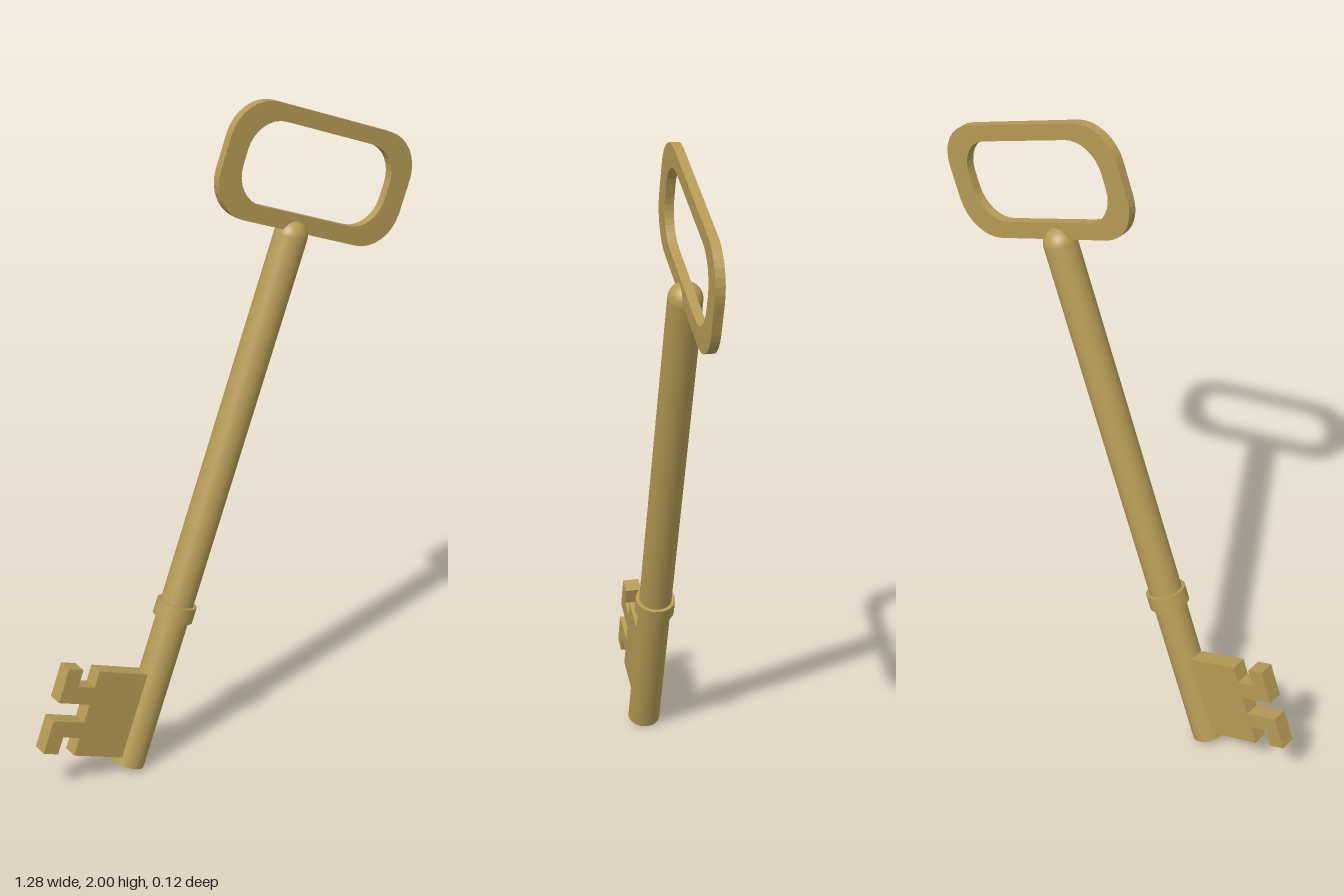
import * as THREE from 'three';

const brass = new THREE.MeshStandardMaterial({ color: 0xb59a54 });
brass.name = 'brass';

function addPart(parent, name, geometry, x = 0, y = 0, z = 0) {
  const mesh = new THREE.Mesh(geometry, brass);
  mesh.name = name;
  mesh.position.set(x, y, z);
  parent.add(mesh);
  return mesh;
}

// Rectangle with rounded corners, drawn counter-clockwise
function roundedRect(path, x0, y0, x1, y1, r) {
  path.moveTo(x0 + r, y0);
  path.lineTo(x1 - r, y0);
  path.absarc(x1 - r, y0 + r, r, -Math.PI / 2, 0);
  path.lineTo(x1, y1 - r);
  path.absarc(x1 - r, y1 - r, r, 0, Math.PI / 2);
  path.lineTo(x0 + r, y1);
  path.absarc(x0 + r, y1 - r, r, Math.PI / 2, Math.PI);
  path.lineTo(x0, y0 + r);
  path.absarc(x0 + r, y0 + r, r, Math.PI, Math.PI * 1.5);
  return path;
}

// Flat plate of the given thickness, centred on z = 0
function plate(shape, depth) {
  return new THREE.ExtrudeGeometry(shape, { depth, bevelEnabled: false, curveSegments: 4 })
    .translate(0, 0, -depth / 2);
}

export function createModel() {
  const model = new THREE.Group();
  model.name = 'key';

  // The key is built upright, then leaned over
  const key = new THREE.Group();
  key.name = 'leaningKey';
  key.position.set(-0.347, 0.02, 0);
  key.rotation.z = -THREE.MathUtils.degToRad(20);
  model.add(key);

  // Round shaft with a domed top
  const radius = 0.05, shaftTop = 1.67;
  addPart(key, 'shaft', new THREE.CylinderGeometry(radius, radius, shaftTop, 32), 0, shaftTop / 2, -0.002);
  addPart(key, 'shaftDome',
    new THREE.SphereGeometry(radius, 32, 10, 0, Math.PI * 2, 0, Math.PI / 2), 0, shaftTop, -0.002);

  // Collar
  addPart(key, 'collar', new THREE.CylinderGeometry(0.061, 0.061, 0.048, 32), 0, 0.502, -0.002);

  // Looped handle
  const bow = roundedRect(new THREE.Shape(), -0.313, 1.685, 0.347, 2.03, 0.122);
  bow.holes.push(roundedRect(new THREE.Path(), -0.245, 1.736, 0.278, 1.982, 0.1));
  addPart(key, 'bow', plate(bow, 0.027), 0, 0, 0.003);

  // Notched bit, starting inside the shaft
  const bit = new THREE.Shape([
    [0, 0.025], [0, 0.297], [-0.216, 0.297], [-0.216, 0.245], [-0.273, 0.245],
    [-0.273, 0.298], [-0.323, 0.298], [-0.323, 0.19], [-0.216, 0.19], [-0.216, 0.132],
    [-0.323, 0.132], [-0.323, 0.027], [-0.273, 0.027], [-0.273, 0.082], [-0.216, 0.082],
    [-0.216, 0.025],
  ].map(([x, y]) => new THREE.Vector2(x, y)));
  addPart(key, 'bit', plate(bit, 0.05), 0, 0, -0.003);

  return model;
}
